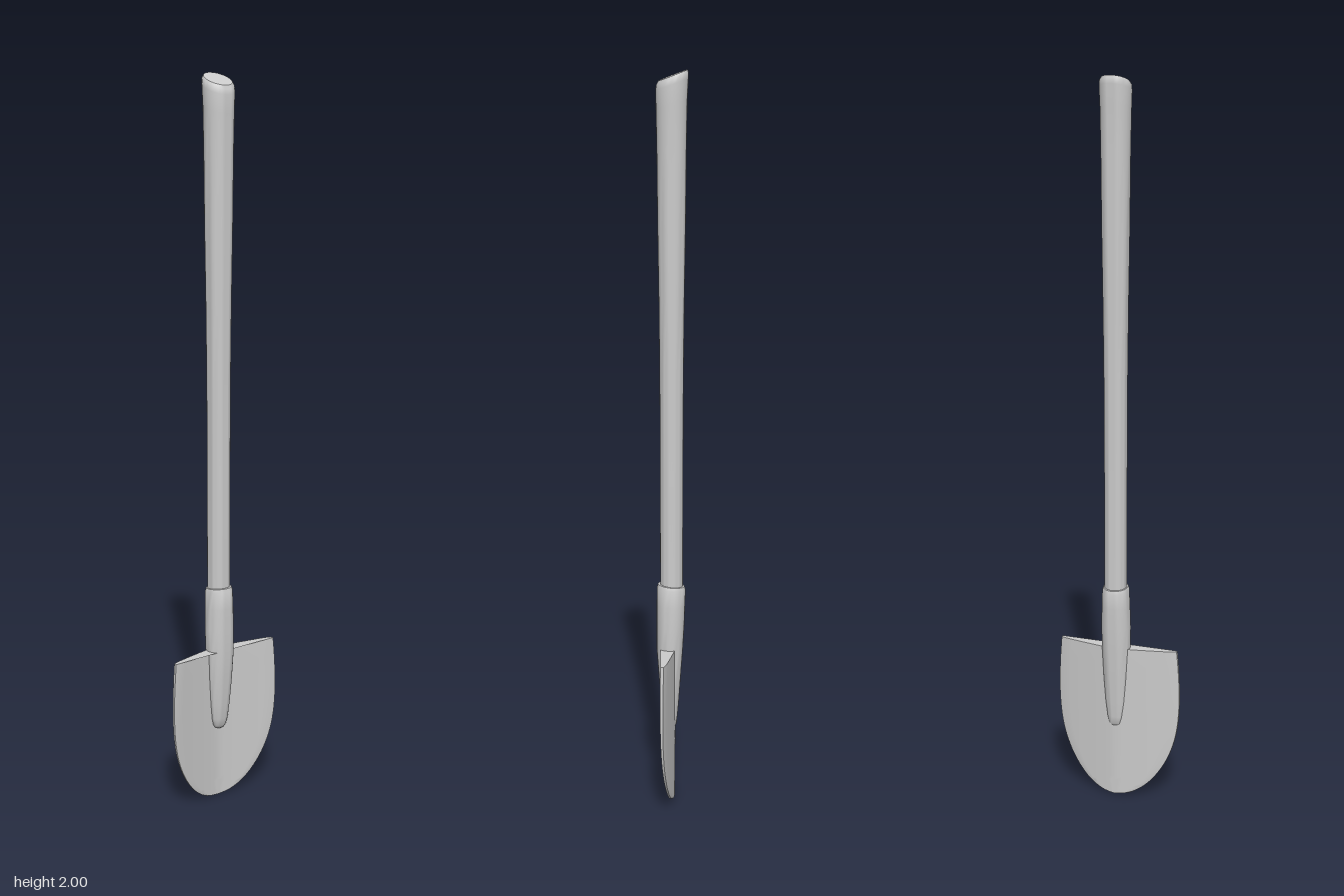
import * as THREE from 'three';
import { toCreasedNormals } from 'three/addons/utils/BufferGeometryUtils.js';

const material = new THREE.MeshStandardMaterial({ color: 0xcccccc });

function addMesh(group, name, geometry, crease) {
  const mesh = new THREE.Mesh(toCreasedNormals(geometry, crease), material);
  mesh.name = name;
  group.add(mesh);
}

// Closed skin through rings of points listed from bottom to top, capped at both ends
function skin(rings) {
  const n = rings[0].length;
  const points = rings.flat();
  const index = [];
  for (let r = 0; r < rings.length - 1; r++) {
    for (let i = 0; i < n; i++) {
      const a = r * n + i, b = r * n + (i + 1) % n;
      index.push(a, a + n, b, b, a + n, b + n);
    }
  }
  const last = (rings.length - 1) * n;
  for (let i = 1; i < n - 1; i++) {
    index.push(0, i, i + 1, last, last + i + 1, last + i);
  }
  const geometry = new THREE.BufferGeometry().setFromPoints(points);
  geometry.setIndex(index);
  return geometry;
}

// Oval ring: height, half width, half depth, centre z, and tilt (rise towards the back)
function oval([y, rx, rz, cz = 0, tilt = 0], n = 28) {
  return Array.from({ length: n }, (_, i) => {
    const a = (i / n) * Math.PI * 2;
    const z = Math.sin(a) * rz;
    return new THREE.Vector3(Math.cos(a) * rx, y - z * tilt, cz + z);
  });
}

// Dished blade: smooth outline, thin section swept across the width
function bladeGeometry() {
  const outline = new THREE.SplineCurve([
    [0, 0], [0.045, 0.008], [0.09, 0.037], [0.13, 0.086], [0.158, 0.145],
    [0.173, 0.21], [0.178, 0.29], [0.175, 0.37], [0.17, 0.43],
  ].map(([x, y]) => new THREE.Vector2(x, y)));
  const across = 20;
  const rings = [];
  for (let k = 0; k <= 36; k++) {
    const p = outline.getPoint(Math.pow(k / 36, 1.3));
    const half = Math.max(p.x, 0.001);
    const t = 0.004 + 0.003 * Math.min(1, p.y / 0.4);
    const ring = [];
    for (const side of [1, -1]) {
      for (let i = 0; i <= across; i++) {
        const u = side * (1 - 2 * i / across);
        const x = half * u;
        const dish = 0.033 * Math.pow(Math.abs(x) / 0.175, 1.25);
        const thin = Math.abs(u) === 1 ? 0.6 : 1;
        ring.push(new THREE.Vector3(x, p.y + 0.008 * (p.y / 0.43), dish - 0.005 + side * t * thin));
      }
    }
    rings.push(ring);
  }
  return skin(rings);
}

export function createModel() {
  const group = new THREE.Group();
  group.name = 'shovel';

  // Wooden shaft, swelling towards a slanted grip end with a softened rim
  addMesh(group, 'shaft', skin([
    [0.5, 0.031, 0.031], [0.9, 0.031, 0.031], [1.2, 0.032, 0.032],
    [1.4, 0.034, 0.034], [1.6, 0.037, 0.037], [1.8, 0.039, 0.039, 0, 0.1],
    [1.91, 0.041, 0.041, 0, 0.25], [1.962, 0.043, 0.043, -0.001, 0.36],
    [1.976, 0.042, 0.042, -0.002, 0.38], [1.984, 0.037, 0.038, -0.003, 0.38],
  ].map((s) => oval(s))), 0.7);

  // Socket that grips the shaft and tapers down to a rounded nose on the blade
  addMesh(group, 'socket', skin([
    [0.203, 0.006, 0.006, 0.002], [0.206, 0.014, 0.011, 0.002],
    [0.215, 0.021, 0.016, 0.002], [0.235, 0.026, 0.019, 0.003],
    [0.28, 0.031, 0.024, 0.004], [0.35, 0.036, 0.03, 0.005],
    [0.43, 0.04, 0.036, 0.005], [0.5, 0.041, 0.038, 0.003],
    [0.56, 0.039, 0.039, 0.002], [0.607, 0.037, 0.039, 0.001, -0.1],
    [0.616, 0.034, 0.036, 0.001, -0.1], [0.617, 0.03, 0.03, 0, -0.1],
  ].map((s) => oval(s))), 0.8);

  addMesh(group, 'blade', bladeGeometry(), 0.6);

  return group;
}
